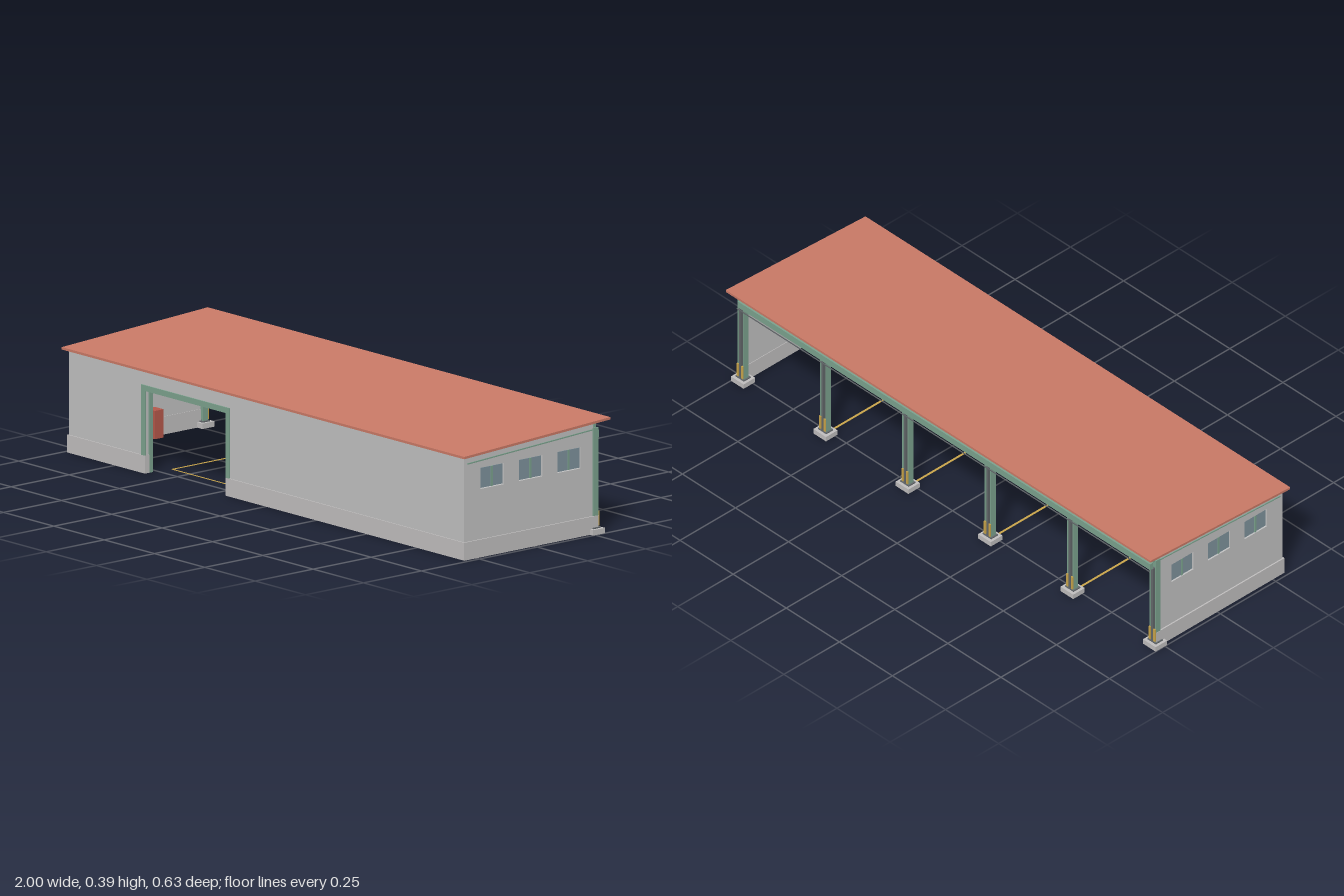
import * as THREE from 'three';

const mat = (name, color) => Object.assign(new THREE.MeshStandardMaterial({ color }), { name });

export function createModel() {
  const M = {
    wall: mat('wall grey', 0xc0c0c0),
    plinth: mat('concrete grey', 0xbfbdbd),
    roof: mat('roof red', 0xc97966),
    steel: mat('steel green', 0x7ba18d),
    glass: mat('window glass', 0x7d919b),
    dark: mat('dark metal', 0x62676a),
    yellow: mat('safety yellow', 0xc8a44a),
    wood: mat('bench wood', 0x8f7d58),
    board: mat('board tan', 0xd0bc92),
    red: mat('cabinet red', 0xb4574a),
  };
  const model = new THREE.Group();
  // underside of the sloping roof
  const roofY = z => 0.362 - 0.0525 * z;

  const group = (name, parent = model) => {
    const g = new THREE.Group();
    g.name = name;
    parent.add(g);
    return g;
  };
  // box given by its extents on each axis
  const box = (name, m, [x0, x1], [y0, y1], [z0, z1], parent = model) => {
    const mesh = new THREE.Mesh(new THREE.BoxGeometry(x1 - x0, y1 - y0, z1 - z0), m);
    mesh.position.set((x0 + x1) / 2, (y0 + y1) / 2, (z0 + z1) / 2);
    mesh.name = name;
    parent.add(mesh);
  };
  // side profile of [z, y] points, extruded along x, with optional rectangular holes
  const profile = (name, m, points, x0, x1, holes = [], parent = model) => {
    const shape = new THREE.Shape(points.map(([z, y]) => new THREE.Vector2(-z, y)));
    for (const [z0, z1, y0, y1] of holes) {
      shape.holes.push(new THREE.Path([[z0, y0], [z0, y1], [z1, y1], [z1, y0]]
        .map(([z, y]) => new THREE.Vector2(-z, y))));
    }
    const geo = new THREE.ExtrudeGeometry(shape, { depth: x1 - x0, bevelEnabled: false });
    geo.rotateY(Math.PI / 2);
    geo.translate(x0, 0, 0);
    const mesh = new THREE.Mesh(geo, m);
    mesh.name = name;
    parent.add(mesh);
  };
  // strip following the roof slope: drop = gap below roof, h = height
  const sloped = (name, m, x0, x1, z0, z1, drop, h, parent) => profile(name, m, [
    [z1, roofY(z1) - drop - h], [z0, roofY(z0) - drop - h],
    [z0, roofY(z0) - drop], [z1, roofY(z1) - drop]], x0, x1, [], parent);

  // roof slab
  sloped('roof', M.roof, -1, 1, -0.315, 0.315, -0.007, 0.008);

  // end walls with three windows each
  const windowZ = [0.178, 0.012, -0.153];
  for (const s of [1, -1]) {
    const end = group(s > 0 ? 'leftEndWall' : 'rightEndWall');
    const span = (a, b) => (s > 0 ? [a, b] : [-b, -a]);
    profile('endWallPanel', M.wall,
      [[0.297, 0.06], [-0.256, 0.06], [-0.256, roofY(-0.256)], [0.297, roofY(0.297)]],
      ...span(0.968, 0.981), windowZ.map(z => [z - 0.05, z + 0.05, 0.228, 0.299]), end);
    box('endPlinth', M.plinth, span(0.966, 0.986), [0, 0.06], [-0.256, 0.297], end);
    // outer part of the plinth, covering the foot of the corner column
    box('plinthReturn', M.plinth, span(0.983, 0.986), [0, 0.06], [-0.277, -0.256], end);
    for (const z of windowZ) {
      const win = group('window', end);
      box('windowGlass', M.glass, span(0.973, 0.977), [0.23, 0.297], [z - 0.048, z + 0.048], win);
      box('windowMullion', M.steel, span(0.97, 0.98), [0.23, 0.297], [z - 0.0035, z + 0.0035], win);
    }
  }

  // front wall around the gateway
  const front = group('frontWall');
  const top = roofY(0.3);
  for (const x of [[-0.981, -0.6], [-0.2, 0.981]]) {
    box('frontPanel', M.wall, x, [0.06, top], [0.287, 0.299], front);
    box('frontPlinth', M.plinth, [x[0] < -0.9 ? -0.986 : x[0], x[1] > 0.9 ? 0.986 : x[1]],
      [0, 0.06], [0.284, 0.303], front);
  }
  box('frontLintelPanel', M.wall, [-0.6, -0.2], [0.28, top], [0.287, 0.299], front);

  // gateway frame, inner posts and rolling door housing
  const gate = group('gateway');
  box('gateHeader', M.steel, [-0.62, -0.182], [0.277, 0.296], [0.299, 0.303], gate);
  for (const [a, b] of [[-0.62, -0.6], [-0.2, -0.182]]) {
    box('gateJamb', M.steel, [a, b], [0.06, 0.277], [0.299, 0.303], gate);
    box('gatePost', M.steel, [a, b], [0, 0.28], [0.268, 0.284], gate);
  }
  box('gateDoorHousing', M.steel, [-0.62, -0.182], [0.28, 0.325], [0.25, 0.287], gate);

  // open rear: H-columns on footings, with rafters above
  const frame = group('steelFrame');
  const columnX = [0, 1, 2, 3, 4, 5].map(i => -0.97 + i * 0.388);
  columnX.forEach((x, i) => {
    const col = group('column', frame);
    const w = k => [x - k, x + k];
    box('footing', M.plinth, w(0.03), [0, 0.018], [-0.292, -0.24], col);
    box('basePlate', M.dark, w(0.02), [0.018, 0.022], [-0.281, -0.25], col);
    for (const d of [-0.013, 0.013]) {
      box('columnFlange', M.steel, [x + d - 0.002, x + d + 0.002], [0.022, 0.355], [-0.277, -0.255], col);
    }
    box('columnWeb', M.steel, w(0.011), [0.022, 0.355], [-0.268, -0.264], col);
    box('columnHead', M.steel, w(0.01), [0.355, 0.375], [-0.271, -0.262], col);
    box('doorGuide', M.dark, w(0.004), [0.022, 0.318], [-0.28, -0.268], col);
    for (const d of [-0.011, 0.011]) {
      box('warningStrip', M.yellow, [x + d - 0.004, x + d + 0.004], [0.025, 0.075], [-0.281, -0.277], col);
    }
    // I-section rafter
    sloped('rafterWeb', M.steel, x - 0.003, x + 0.003, -0.262, 0.286, 0.002, 0.022, frame);
    sloped('rafterFlange', M.steel, x - 0.014, x + 0.014, -0.262, 0.286, 0.024, 0.004, frame);
    // lighter rafter in the middle of the bay
    if (i < 5) sloped('midRafter', M.steel, x + 0.184, x + 0.204, -0.262, 0.286, 0.001, 0.012, frame);
  });

  // rear beams and roof purlins
  box('rearDoorBeam', M.steel, [-0.972, 0.972], [0.318, 0.342], [-0.29, -0.277], frame);
  box('rearTieBeam', M.steel, [-0.972, 0.972], [0.342, 0.354], [-0.276, -0.256], frame);
  box('rearEavesBeam', M.steel, [-0.972, 0.972], [0.367, 0.375], [-0.275, -0.262], frame);
  box('rearRail', M.dark, [-0.972, 0.972], [0.311, 0.315], [-0.293, -0.291], frame);
  for (const z of [-0.14, 0.14]) {
    sloped('purlin', M.steel, -0.968, 0.968, z - 0.003, z + 0.003, 0.001, 0.008, frame);
  }

  // hoist rail with trolley, and ceiling lamps
  const hoist = group('hoist');
  box('hoistRail', M.yellow, [-0.965, 0.965], [0.322, 0.332], [-0.006, 0.006], hoist);
  box('hoistTrolley', M.yellow, [-0.262, -0.222], [0.302, 0.322], [-0.014, 0.014], hoist);
  for (const x of columnX.slice(0, 5)) {
    box('ceilingLamp', M.dark, [x + 0.07, x + 0.13], [0.356, 0.36], [-0.07, -0.062]);
  }

  // painted floor lines
  const lines = group('floorLines');
  for (const x of columnX.slice(1, 5)) {
    box('bayLine', M.yellow, [x - 0.004, x + 0.004], [0.001, 0.002], [-0.24, 0.2], lines);
  }
  box('gateLine', M.yellow, [columnX[1], columnX[2]], [0.001, 0.002], [0.197, 0.203], lines);

  // storage racks along the front wall
  [0.66, 0.385, 0.155, -0.05].forEach((cx, r) => {
    const rack = group('storageRack');
    const hw = 0.097;
    for (const x of [cx - hw, cx, cx + hw]) {
      for (const z of [0.232, 0.276]) {
        box('rackPost', M.yellow, [x - 0.003, x + 0.003], [0, 0.165], [z - 0.003, z + 0.003], rack);
      }
    }
    [0.025, 0.075, 0.125].forEach((y, k) => {
      box('rackShelf', M.dark, [cx - hw, cx + hw], [y, y + 0.006], [0.23, 0.278], rack);
      for (let i = 0; i < 4; i++) {
        if ((i + k + r) % 3 === 0) continue;
        const x = cx - 0.072 + i * 0.048;
        box('storedBox', (i + k) % 2 ? M.wood : M.dark, [x - 0.015, x + 0.015],
          [y + 0.006, y + 0.028], [0.24, 0.27], rack);
      }
    });
  });

  // workbench, tool board, small shelf and cabinet at the right end
  const shop = group('workshopCorner');
  box('benchTop', M.wood, [-0.96, -0.9], [0.072, 0.08], [0.03, 0.26], shop);
  box('benchShelf', M.wood, [-0.96, -0.905], [0.025, 0.03], [0.035, 0.255], shop);
  for (const z of [0.035, 0.255]) {
    for (const x of [-0.956, -0.904]) {
      box('benchLeg', M.dark, [x - 0.004, x + 0.004], [0, 0.072], [z - 0.004, z + 0.004], shop);
    }
  }
  box('toolBoard', M.board, [-0.967, -0.962], [0.11, 0.17], [0.05, 0.24], shop);
  for (let i = 0; i < 4; i++) {
    const z = 0.085 + i * 0.04;
    box('handTool', M.dark, [-0.962, -0.958], [0.13, 0.155], [z - 0.002, z + 0.002], shop);
  }
  for (const y of [0.02, 0.05, 0.08, 0.11, 0.14]) {
    box('smallShelf', M.plinth, [-0.965, -0.93], [y, y + 0.005], [-0.012, 0.02], shop);
  }
  box('smallShelfBack', M.dark, [-0.967, -0.964], [0, 0.145], [-0.012, 0.02], shop);
  box('toolCabinet', M.red, [-0.964, -0.92], [0.005, 0.1], [-0.055, -0.018], shop);
  return model;
}
